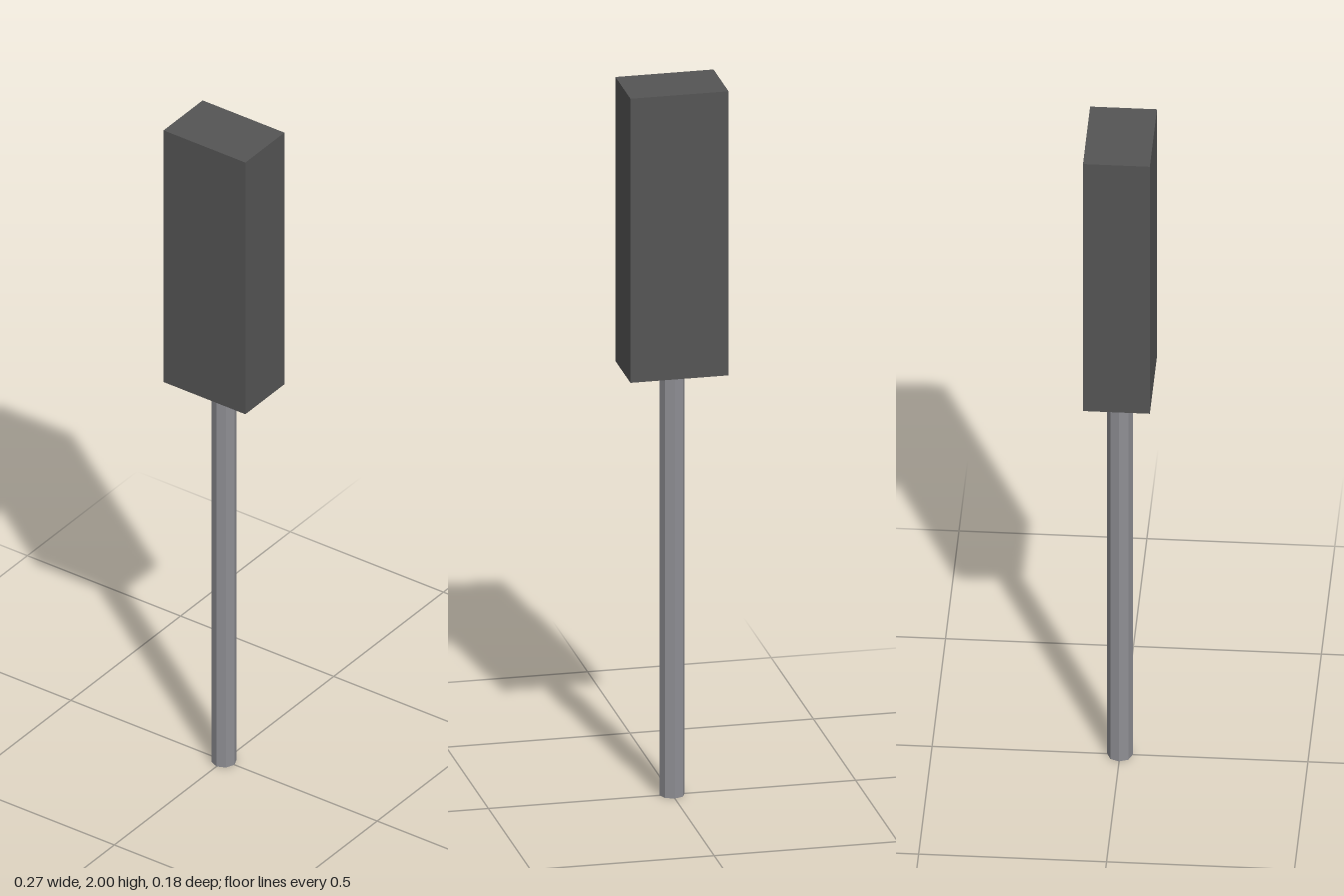
import * as THREE from 'three';

export function createModel() {
  const group = new THREE.Group();
  const darkGrey = new THREE.MeshStandardMaterial({ color: 0x555555 });
  darkGrey.name = 'dark grey';
  const steelGrey = new THREE.MeshStandardMaterial({ color: 0x8e8e93 });
  steelGrey.name = 'steel grey';

  const poleHeight = 1.2, headHeight = 0.8;

  // Eight-sided pole standing on the ground, with flat facets
  const poleGeometry = new THREE.CylinderGeometry(0.034, 0.034, poleHeight, 8).toNonIndexed();
  poleGeometry.computeVertexNormals();
  const pole = new THREE.Mesh(poleGeometry, steelGrey);
  pole.name = 'pole';
  pole.position.y = poleHeight / 2;

  // Rectangular block on top of the pole
  const head = new THREE.Mesh(new THREE.BoxGeometry(0.267, headHeight, 0.178), darkGrey);
  head.name = 'head';
  head.position.y = poleHeight + headHeight / 2;

  group.add(pole, head);
  return group;
}
